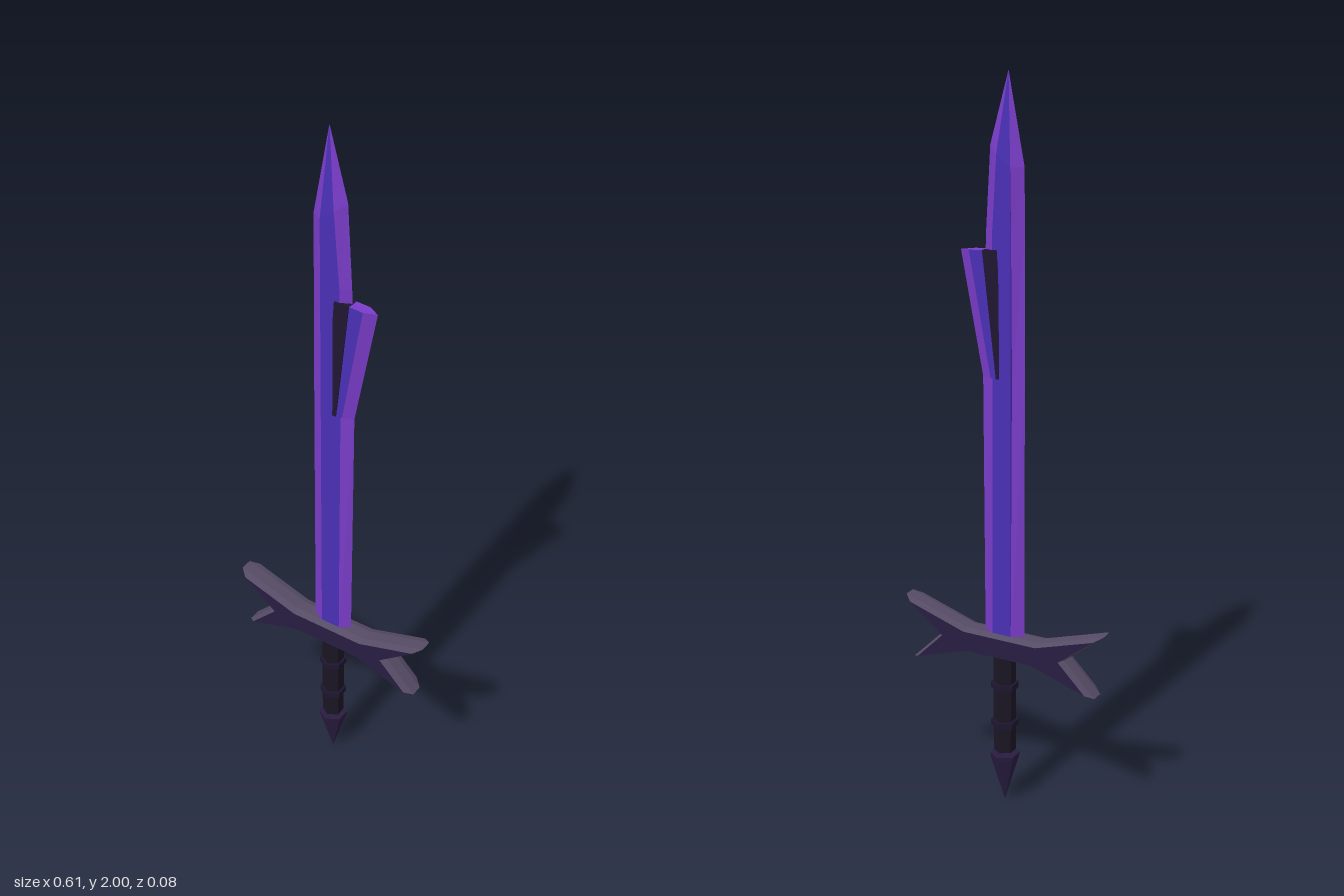
import * as THREE from 'three';

const mat = (color) => new THREE.MeshStandardMaterial({ color, flatShading: true });
const purple = mat(0x7a3cc8), blue = mat(0x4a2fb4), dark = mat(0x1e1630);
const guardFace = mat(0x281c40), guardEdge = mat(0x564c66), grip = mat(0x1a1624);

function flatMesh(name, positions, material) {
  const geo = new THREE.BufferGeometry();
  geo.setAttribute('position', new THREE.Float32BufferAttribute(positions, 3));
  geo.computeVertexNormals();
  const mesh = new THREE.Mesh(geo, material);
  mesh.name = name;
  return mesh;
}

// Bevelled slab, alike on both sides: face is a counter-clockwise list of
// [x, y, z], rim the matching outer [x, y] outline, rimZ its half thickness.
function slab(name, rim, face, rimZ, faceMat, edgeMat) {
  const front = face.map((p) => new THREE.Vector3(...p));
  const back = front.map((p) => new THREE.Vector3(p.x, p.y, -p.z));
  const rings = [front, rim.map(([x, y]) => new THREE.Vector3(x, y, rimZ))];
  if (rimZ > 0) rings.push(rim.map(([x, y]) => new THREE.Vector3(x, y, -rimZ)));
  rings.push(back);

  const caps = [], edges = [];
  const add = (list, ...pts) => pts.forEach((p) => list.push(p.x, p.y, p.z));
  const flat = front.map((p) => new THREE.Vector2(p.x, p.y));
  for (const [a, b, c] of THREE.ShapeUtils.triangulateShape(flat, [])) {
    add(caps, front[a], front[b], front[c]);
    add(caps, back[a], back[c], back[b]);
  }
  for (let r = 0; r < rings.length - 1; r++) {
    const near = rings[r], far = rings[r + 1];
    for (let i = 0; i < near.length; i++) {
      const j = (i + 1) % near.length;
      add(edges, near[i], far[i], far[j], near[i], far[j], near[j]);
    }
  }
  const group = new THREE.Group();
  group.name = name;
  group.add(flatMesh(name + 'Face', caps, faceMat), flatMesh(name + 'Edge', edges, edgeMat));
  return group;
}

// Six-sided turned part between two heights
function hexPart(name, rTop, rBottom, y0, y1, material) {
  const mesh = new THREE.Mesh(new THREE.CylinderGeometry(rTop, rBottom, y1 - y0, 6), material);
  mesh.position.y = (y0 + y1) / 2;
  mesh.name = name;
  return mesh;
}

// Completes a right-hand outline (bottom to top) with its mirror image
const mirrored = (half) => [...half, ...half.map(([x, ...rest]) => [-x, ...rest]).reverse()];

export function createModel() {
  const model = new THREE.Group();
  model.name = 'sword';

  // Blade, with ground edges running to a point
  model.add(slab('blade',
    [[-0.06, 0.5], [0.06, 0.5], [0.064, 1.23], [0.054, 1.6], [0.041, 1.82],
      [-0.01, 2], [-0.055, 1.77], [-0.056, 1.6], [-0.058, 1.23]],
    [[-0.027, 0.5, 0.017], [0.03, 0.5, 0.017], [0.03, 1.23, 0.012], [0.028, 1.6, 0.016],
      [0.014, 1.8, 0.019], [-0.01, 2, 0], [-0.025, 1.77, 0.019], [-0.026, 1.6, 0.016],
      [-0.027, 1.23, 0.012]],
    0, blue, purple));

  // Prong branching off the left edge of the blade
  model.add(slab('prong',
    [[-0.005, 1.23], [0.064, 1.23], [0.127, 1.555], [-0.01, 1.565]],
    [[0, 1.23, 0.013], [0.035, 1.23, 0.013], [0.095, 1.558, 0.016], [-0.005, 1.565, 0.016]],
    0, blue, purple));

  // Dark groove between prong and blade
  model.add(slab('groove',
    [[-0.01, 1.23], [0.018, 1.23], [0.056, 1.561], [0.014, 1.564]],
    [[-0.01, 1.23, 0.016], [0.018, 1.23, 0.016], [0.056, 1.561, 0.018], [0.014, 1.564, 0.018]],
    0.012, dark, dark));

  // Crossguard with forked ends
  const guardRim = [[0.1, 0.446], [0.28, 0.39], [0.188, 0.482], [0.303, 0.575], [0.11, 0.515]];
  const guardFront = [[0.1, 0.453, 0.036], [0.258, 0.402, 0.036], [0.178, 0.482, 0.036],
    [0.28, 0.562, 0.036], [0.11, 0.508, 0.036]];
  model.add(slab('crossguard', mirrored(guardRim), mirrored(guardFront), 0.017, guardFace, guardEdge));

  // Grip and its two bands
  model.add(hexPart('grip', 0.031, 0.031, 0.16, 0.455, grip));
  for (const y of [0.245, 0.36]) {
    model.add(hexPart('gripBand', 0.038, 0.038, y - 0.009, y + 0.009, dark));
  }

  // Pointed pommel
  model.add(hexPart('pommelCap', 0.042, 0.04, 0.138, 0.15, guardFace));
  model.add(hexPart('pommelSpike', 0.04, 0, 0, 0.138, guardFace));

  return model;
}
